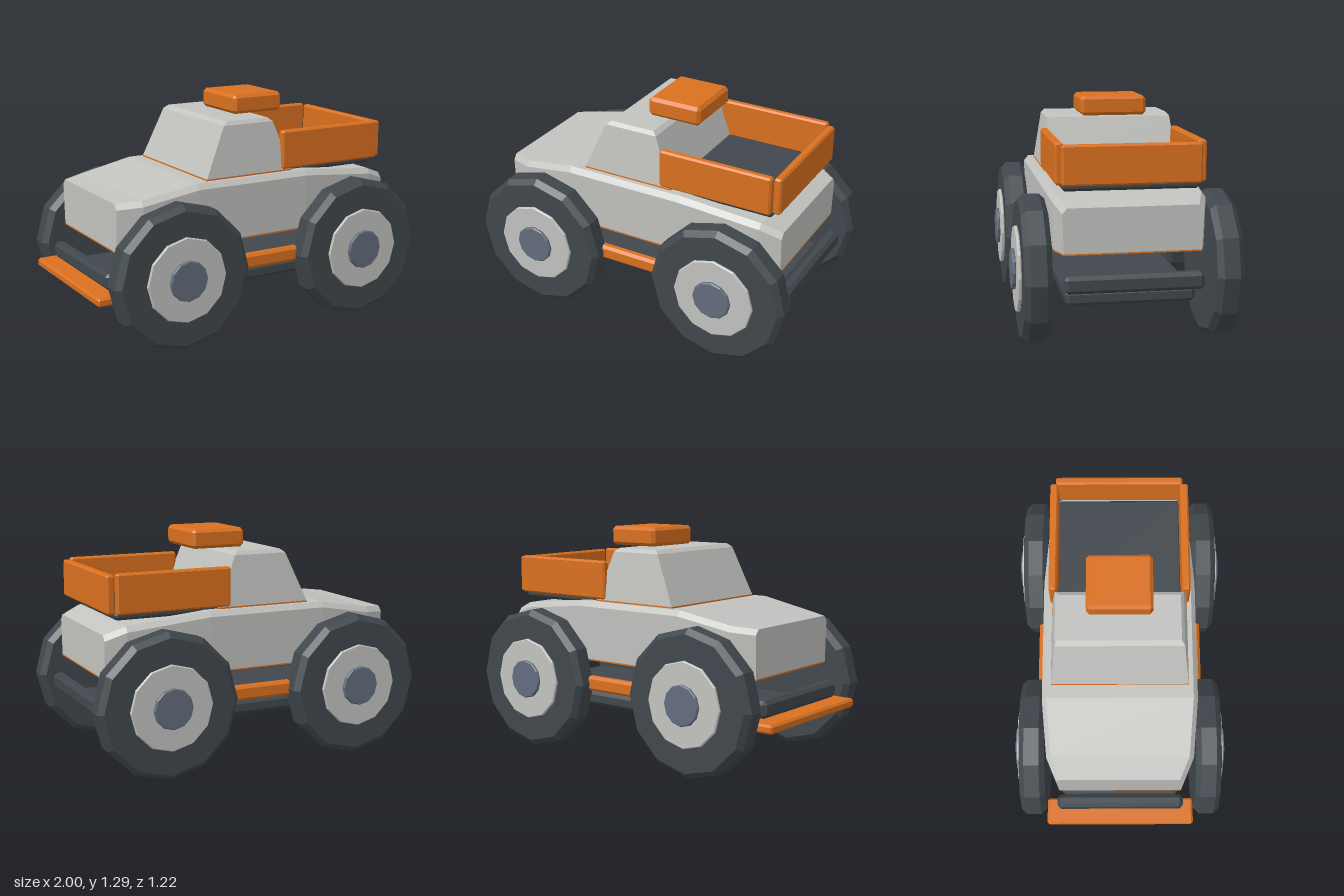
import * as THREE from 'three';
import { ConvexGeometry } from 'three/addons/geometries/ConvexGeometry.js';

const paint = (name, color) => {
  const m = new THREE.MeshStandardMaterial({ color });
  m.name = name;
  return m;
};

// Faceted normals for low-poly parts
function faceted(geometry) {
  const g = geometry.index ? geometry.toNonIndexed() : geometry;
  g.computeVertexNormals();
  return g;
}

// Closed skin through equal-sized rings, counter-clockwise about the lofting axis
function loft(rings) {
  const n = rings[0].length, pos = [];
  const tri = (a, b, c) => pos.push(...a, ...b, ...c);
  for (let i = 0; i < rings.length - 1; i++) {
    for (let j = 0; j < n; j++) {
      const k = (j + 1) % n;
      const a = rings[i][j], b = rings[i][k], c = rings[i + 1][k], d = rings[i + 1][j];
      tri(a, b, c);
      tri(a, c, d);
    }
  }
  const first = rings[0], last = rings[rings.length - 1];
  for (let j = 1; j < n - 1; j++) {
    tri(first[0], first[j + 1], first[j]);
    tri(last[0], last[j], last[j + 1]);
  }
  const g = new THREE.BufferGeometry();
  g.setAttribute('position', new THREE.Float32BufferAttribute(pos, 3));
  return faceted(g);
}

// Box with chamfered edges given by its extents
function chamferBox([x0, x1], [y0, y1], [z0, z1], c) {
  const h = [(x1 - x0) / 2, (y1 - y0) / 2, (z1 - z0) / 2], pts = [];
  for (const sx of [-1, 1]) for (const sy of [-1, 1]) for (const sz of [-1, 1]) {
    for (let axis = 0; axis < 3; axis++) {
      const p = h.map((v, i) => (i === axis ? v : v - c));
      pts.push(new THREE.Vector3(sx * p[0], sy * p[1], sz * p[2]));
    }
  }
  return new ConvexGeometry(pts).translate((x0 + x1) / 2, (y0 + y1) / 2, (z0 + z1) / 2);
}

// Twelve-sided chamfered disc whose axis runs along z
function disc(r, z0, z1, c) {
  const profile = [[0, z0], [r - c, z0], [r, z0 + c], [r, z1 - c], [r - c, z1], [0, z1]]
    .map(([x, y]) => new THREE.Vector2(x, y));
  return faceted(new THREE.LatheGeometry(profile, 12).rotateX(Math.PI / 2));
}

export function createModel() {
  const grey = paint('body grey', 0xc2c2bf);
  const orange = paint('trim orange', 0xd9701f);
  const dark = paint('rubber dark', 0x40474c);
  const slate = paint('hub slate', 0x636c7d);

  const model = new THREE.Group();
  model.name = 'pickupTruck';
  const add = (name, geometry, material, parent = model) => {
    const mesh = new THREE.Mesh(geometry, material);
    mesh.name = name;
    parent.add(mesh);
    return mesh;
  };

  // Body shell: x, half width, top height
  const stations = [
    [-0.85, 0.355, 0.80], [-0.72, 0.41, 0.812], [-0.4, 0.437, 0.87],
    [0.3, 0.437, 0.87], [0.77, 0.405, 0.82], [0.885, 0.368, 0.775],
  ];
  add('body', loft(stations.map(([x, w, h]) => [
    [x, 0.538, -w + 0.008], [x, h - 0.03, -w], [x, h, -w + 0.025],
    [x, h, w - 0.025], [x, h - 0.03, w], [x, 0.538, w - 0.008],
  ])), grey);
  add('bodyFloor', loft(stations.map(([x, w]) => [
    [x, 0.53, -w + 0.008], [x, 0.538, -w + 0.008],
    [x, 0.538, w - 0.008], [x, 0.53, w - 0.008],
  ])), orange);

  // Cab: height, front x, rear x, half width
  const level = ([y, x0, x1, w]) => [[x0, y, -w], [x0, y, w], [x1, y, w], [x1, y, -w]]
    .map(([x, yy, z]) => [x, yy, z]);
  add('cab', loft([
    [0.878, -0.322, 0.225, 0.385], [1.155, -0.198, 0.118, 0.353], [1.176, -0.172, 0.093, 0.335],
  ].map(level)), grey);
  add('cabSeal', loft([
    [0.869, -0.324, 0.227, 0.386], [0.878, -0.324, 0.227, 0.386],
  ].map(level)), orange);
  add('roofBox', chamferBox([-0.03, 0.29], [1.178, 1.286], [-0.182, 0.182], 0.018), orange);

  // Cargo bed
  add('bedFloor', chamferBox([0.16, 0.82], [0.848, 0.892], [-0.36, 0.36], 0.015), dark);
  add('tailgate', chamferBox([0.82, 0.866], [0.882, 1.092], [-0.365, 0.365], 0.01), orange);

  // Chassis and bumpers
  add('chassis', chamferBox([-0.82, 0.83], [0.245, 0.327], [-0.343, 0.343], 0.02), dark);
  add('rearBumper', chamferBox([0.875, 0.945], [0.338, 0.432], [-0.365, 0.365], 0.02), dark);
  add('frontBumper', chamferBox([-0.92, -0.85], [0.338, 0.432], [-0.365, 0.365], 0.02), dark);
  add('skidPlate', chamferBox([-1, -0.85], [0.28, 0.33], [-0.426, 0.426], 0.012), orange);

  // Mirrored side parts
  for (const side of [1, -1]) {
    const span = (a, b) => (side > 0 ? [a, b] : [-b, -a]);
    const label = side > 0 ? 'left' : 'right';
    add(label + 'BedWall', chamferBox([0.16, 0.82], [0.882, 1.1], span(0.35, 0.396), 0.01), orange);
    add(label + 'SideStep', chamferBox([-0.42, 0.46], [0.367, 0.45], span(0.432, 0.488), 0.015), orange);

    for (const [end, x] of [['Front', -0.555], ['Rear', 0.595]]) {
      const wheel = new THREE.Group();
      wheel.name = label + end + 'Wheel';
      wheel.position.set(x, 0.403, 0);
      add('tire', disc(0.403, ...span(0.425, 0.569), 0.03), dark, wheel);
      add('rim', disc(0.235, ...span(0.569, 0.588), 0.005), grey, wheel);
      add('hubCap', disc(0.112, ...span(0.586, 0.608), 0.006), slate, wheel);
      model.add(wheel);
    }
  }
  return model;
}
